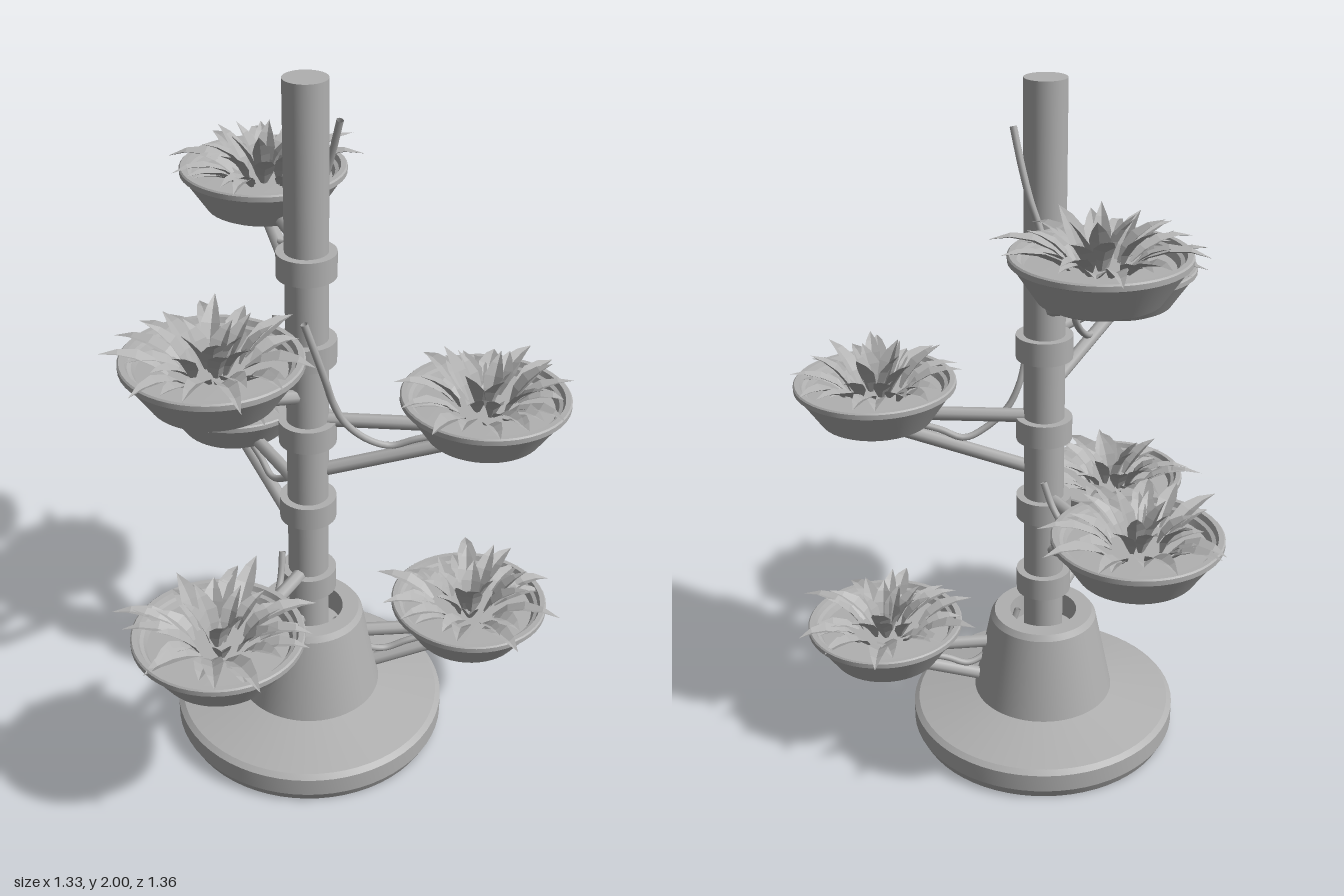
import * as THREE from 'three';
import { mergeGeometries, toCreasedNormals } from 'three/addons/utils/BufferGeometryUtils.js';

const V = (x, y, z) => new THREE.Vector3(x, y, z);

function seeded(seed) {
  let s = seed;
  return () => ((s = (s * 16807) % 2147483647) / 2147483647);
}

function lathe(points, segments) {
  const pts = points.map(([r, y]) => new THREE.Vector2(r, y));
  return toCreasedNormals(new THREE.LatheGeometry(pts, segments), 0.4);
}

// straight bar between two points
function bar(a, b, r, sides) {
  const d = b.clone().sub(a);
  const g = new THREE.CylinderGeometry(r, r, d.length(), sides);
  g.applyQuaternion(new THREE.Quaternion().setFromUnitVectors(V(0, 1, 0), d.normalize()));
  const mid = a.clone().add(b).multiplyScalar(0.5);
  return g.translate(mid.x, mid.y, mid.z);
}

// pointed leaf growing along +x, folded on its midrib, curving from angle a0 to a1
function leaf(length, width, a0, a1) {
  const widths = [0.3, 0.85, 1, 0.6, 0];
  const rows = [];
  let x = 0, y = 0;
  widths.forEach((w, i) => {
    const a = a0 + (a1 - a0) * i / 4, h = w * width / 2;
    if (i) { x += Math.cos(a) * length / 4; y += Math.sin(a) * length / 4; }
    const nx = -Math.sin(a) * h * 0.45, ny = Math.cos(a) * h * 0.45;
    rows.push([V(x + nx, y + ny, h), V(x, y, 0), V(x + nx, y + ny, -h)]);
  });
  const pos = [];
  for (let i = 0; i < 4; i++) for (let j = 0; j < 2; j++) {
    const a = rows[i][j], b = rows[i + 1][j], c = rows[i + 1][j + 1], d = rows[i][j + 1];
    const tris = i < 3 ? [a, b, c, a, c, d] : [a, b, d];
    tris.forEach(p => pos.push(p.x, p.y, p.z));
  }
  const g = new THREE.BufferGeometry();
  g.setAttribute('position', new THREE.Float32BufferAttribute(pos, 3));
  g.computeVertexNormals();
  return g;
}

// rings of leaves: [count, base radius, length, start angle, end angle]
function plant(seed) {
  const rnd = seeded(seed), leaves = [];
  const rings = [
    [11, 0.09, 0.19, 0.75, -0.1],
    [9, 0.09, 0.13, 0.7, 0.0],
    [8, 0.06, 0.15, 1.1, 0.5],
    [5, 0.025, 0.14, 1.3, 0.9],
  ];
  for (const [n, r, len, a0, a1] of rings) for (let i = 0; i < n; i++) {
    const g = leaf(len * (0.85 + rnd() * 0.3), 0.045 + rnd() * 0.015, a0 + rnd() * 0.25, a1 + (rnd() - 0.5) * 0.4);
    g.rotateY((rnd() - 0.5) * 0.7).translate(r * (0.75 + rnd() * 0.5), 0, 0);
    g.rotateY((i + rnd() * 0.6) / n * Math.PI * 2 + r * 20);
    leaves.push(g);
  }
  return mergeGeometries(leaves);
}

export function createModel() {
  const model = new THREE.Group();
  const grey = new THREE.MeshStandardMaterial({ color: 0xb0b0b0 });
  grey.name = 'grey';
  const leafGrey = new THREE.MeshStandardMaterial({ color: 0xb0b0b0, side: THREE.DoubleSide });
  leafGrey.name = 'leafGrey';
  const add = (parent, name, geometry, material = grey) => {
    const m = new THREE.Mesh(geometry, material);
    m.name = name;
    parent.add(m);
    return m;
  };

  // everything is laid out around the pole axis
  const stand = new THREE.Group();
  stand.name = 'stand';
  stand.position.set(-0.06, 0, 0.077);
  model.add(stand);

  add(stand, 'base', lathe([
    [0.012, 0.006], [0.012, 0], [0.385, 0], [0.4, 0.03], [0.4, 0.085], [0.385, 0.097], [0.21, 0.135],
    [0.159, 0.385], [0.147, 0.402], [0.1, 0.402], [0.095, 0.33], [0.04, 0.33],
  ], 64));
  add(stand, 'pole', new THREE.CylinderGeometry(0.058, 0.058, 1.8, 40).translate(0, 1.1, 0));
  for (let i = 0; i < 5; i++) {
    add(stand, 'collar', new THREE.CylinderGeometry(0.08, 0.08, 0.068, 40).translate(0, 0.513 + i * 0.25, 0));
  }

  const bowlShape = lathe([
    [0, -0.125], [0.14, -0.125], [0.16, -0.115], [0.222, -0.022], [0.23, -0.018], [0.23, -0.004],
    [0.226, 0], [0.212, 0], [0.206, -0.014], [0.196, -0.018], [0.188, -0.035], [0, -0.03],
  ], 48);

  // bowl centres relative to the pole: [x, z, long hose]
  const bowls = [
    [0.468, 0.095, false], [-0.34, 0.34, false], [-0.103, -0.468, false],
    [0.447, 0.172, true], [-0.3, 0.215, false], [-0.02, -0.367, true],
  ];
  bowls.forEach(([x, z, long], i) => {
    const rim = 0.397 + i * 0.25;
    const angle = Math.atan2(z, x), reach = Math.hypot(x, z);
    const polar = (turn, r, dy) => V(Math.cos(angle + turn) * r, rim + dy, Math.sin(angle + turn) * r);
    const tier = new THREE.Group();
    tier.name = 'tier' + (i + 1);
    stand.add(tier);

    add(tier, 'bowl', bowlShape).position.set(x, rim, z);
    add(tier, 'plant', plant(101 + i * 977), leafGrey).position.set(x, rim - 0.032, z);
    add(tier, 'arm', bar(polar(0, 0.04, -0.1), polar(0, reach - 0.08, -0.1), 0.02, 8));
    add(tier, 'strut', bar(polar(0, 0.045, -0.262), polar(0, reach, -0.132), 0.02, 8));

    // hose winding down the pole and sagging under the bowl
    const path = [
      polar(0.55, 0.085, -0.02), polar(0.3, 0.11, -0.09), polar(0.1, 0.17, -0.15),
      polar(0, 0.23, -0.175), polar(0, 0.3, -0.15), polar(0, reach - 0.06, -0.12),
    ];
    if (long) path.unshift(polar(1.55, 0.09, 0.235), polar(1.2, 0.085, 0.14), polar(0.85, 0.085, 0.05));
    add(tier, 'hose', new THREE.TubeGeometry(new THREE.CatmullRomCurve3(path), 40, 0.01, 8), leafGrey);
  });

  return model;
}
